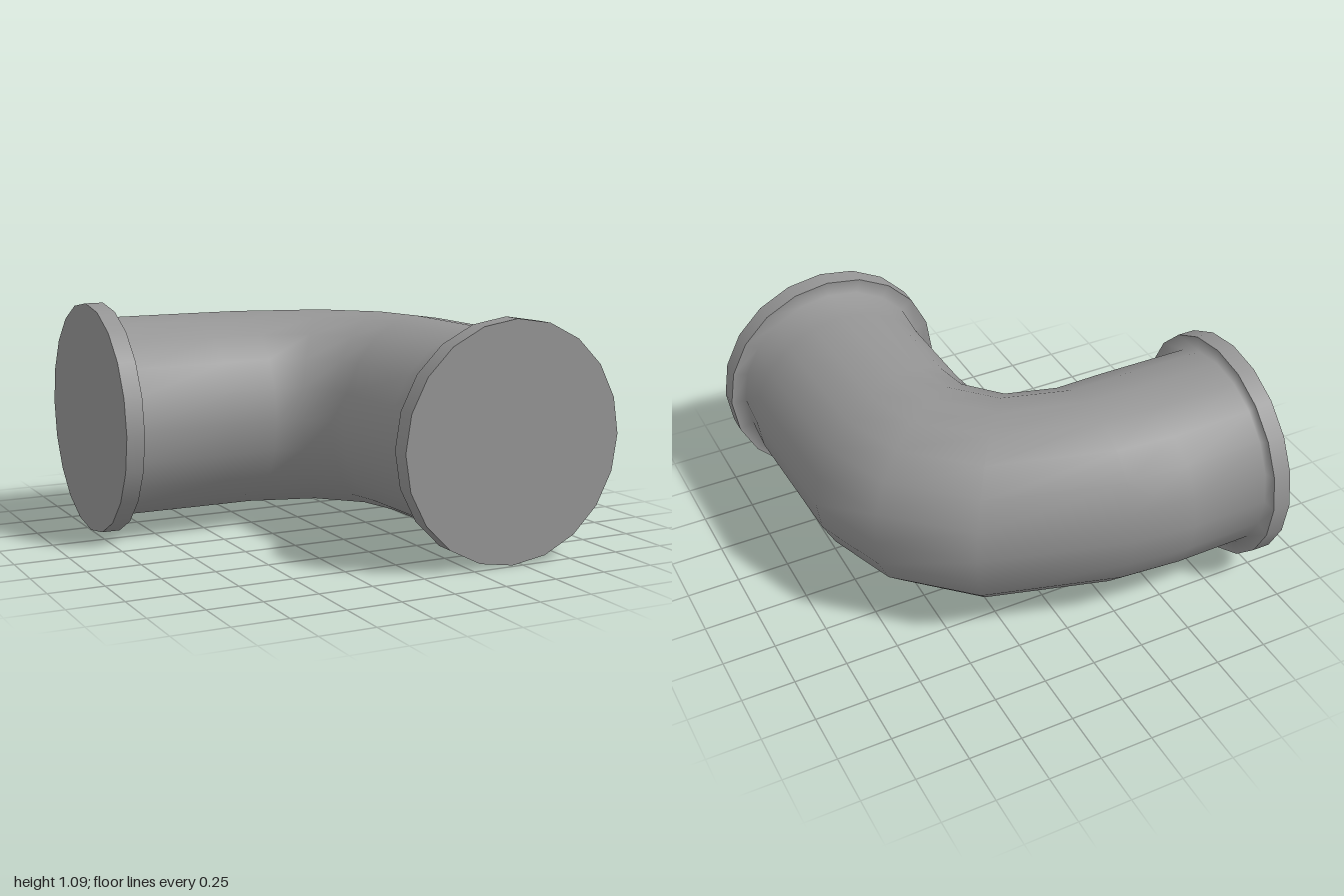
import * as THREE from 'three';

const SIDES = 20;
const CENTER_Y = 0.545;
const PIPE_RADIUS = 0.473;
const FLANGE_RADIUS = 0.544;

// Stations along the bend: [outer x, outer z, inner x, inner z, half height]
// The first and last flare out to form the inner faces of the flanges.
const STATIONS = [
  [-0.915, -0.992, -0.915, 0.096, FLANGE_RADIUS],
  [-0.915, -0.92, -0.915, 0.02, PIPE_RADIUS],
  [-0.54, -0.925, -0.45, 0.025, PIPE_RADIUS],
  [-0.24, -0.895, -0.23, 0.01, PIPE_RADIUS],
  [0.437, -0.70, -0.11, 0.045, PIPE_RADIUS],
  [0.782, -0.38, -0.02, 0.16, PIPE_RADIUS],
  [0.917, -0.02, -0.015, 0.27, PIPE_RADIUS],
  [0.942, 0.69, -0.003, 0.68, PIPE_RADIUS],
  [0.927, 0.892, -0.02, 0.892, PIPE_RADIUS],
  [1, 0.892, -0.088, 0.892, FLANGE_RADIUS],
];

// Skin elliptical rings, one per station, into a smooth tube
function elbowGeometry() {
  const positions = [];
  const indices = [];
  STATIONS.forEach(([ox, oz, ix, iz, height], i) => {
    for (let j = 0; j < SIDES; j++) {
      const angle = (j / SIDES) * Math.PI * 2;
      const t = (1 + Math.cos(angle)) / 2;
      positions.push(
        ix + (ox - ix) * t,
        CENTER_Y + height * Math.sin(angle),
        iz + (oz - iz) * t
      );
      if (i < STATIONS.length - 1) {
        const a = i * SIDES + j;
        const b = i * SIDES + ((j + 1) % SIDES);
        indices.push(a, b, a + SIDES, b, b + SIDES, a + SIDES);
      }
    }
  });
  const geometry = new THREE.BufferGeometry();
  geometry.setAttribute('position', new THREE.Float32BufferAttribute(positions, 3));
  geometry.setIndex(indices);
  geometry.computeVertexNormals();
  return geometry;
}

export function createModel() {
  const group = new THREE.Group();
  group.name = 'pipeElbow';
  const material = new THREE.MeshStandardMaterial({ color: 0x959595 });

  const addPart = (parent, name, geometry) => {
    const mesh = new THREE.Mesh(geometry, material);
    mesh.name = name;
    parent.add(mesh);
  };

  // Flange rim and flat end cap, facing +y before it is turned into place
  const addFlange = (name, thickness) => {
    const flange = new THREE.Group();
    flange.name = name;
    addPart(flange, 'rim',
      new THREE.CylinderGeometry(FLANGE_RADIUS, FLANGE_RADIUS, thickness, SIDES, 1, true));
    addPart(flange, 'endCap',
      new THREE.CircleGeometry(FLANGE_RADIUS, SIDES)
        .rotateX(-Math.PI / 2).translate(0, thickness / 2, 0));
    group.add(flange);
    return flange;
  };

  addPart(group, 'bentPipe', elbowGeometry());

  // End facing -x
  const side = addFlange('sideFlange', 0.085);
  side.rotation.z = Math.PI / 2;
  side.position.set(-0.9575, CENTER_Y, -0.448);

  // End facing +z
  const front = addFlange('frontFlange', 0.093);
  front.rotation.x = Math.PI / 2;
  front.position.set(0.456, CENTER_Y, 0.9385);

  return group;
}
